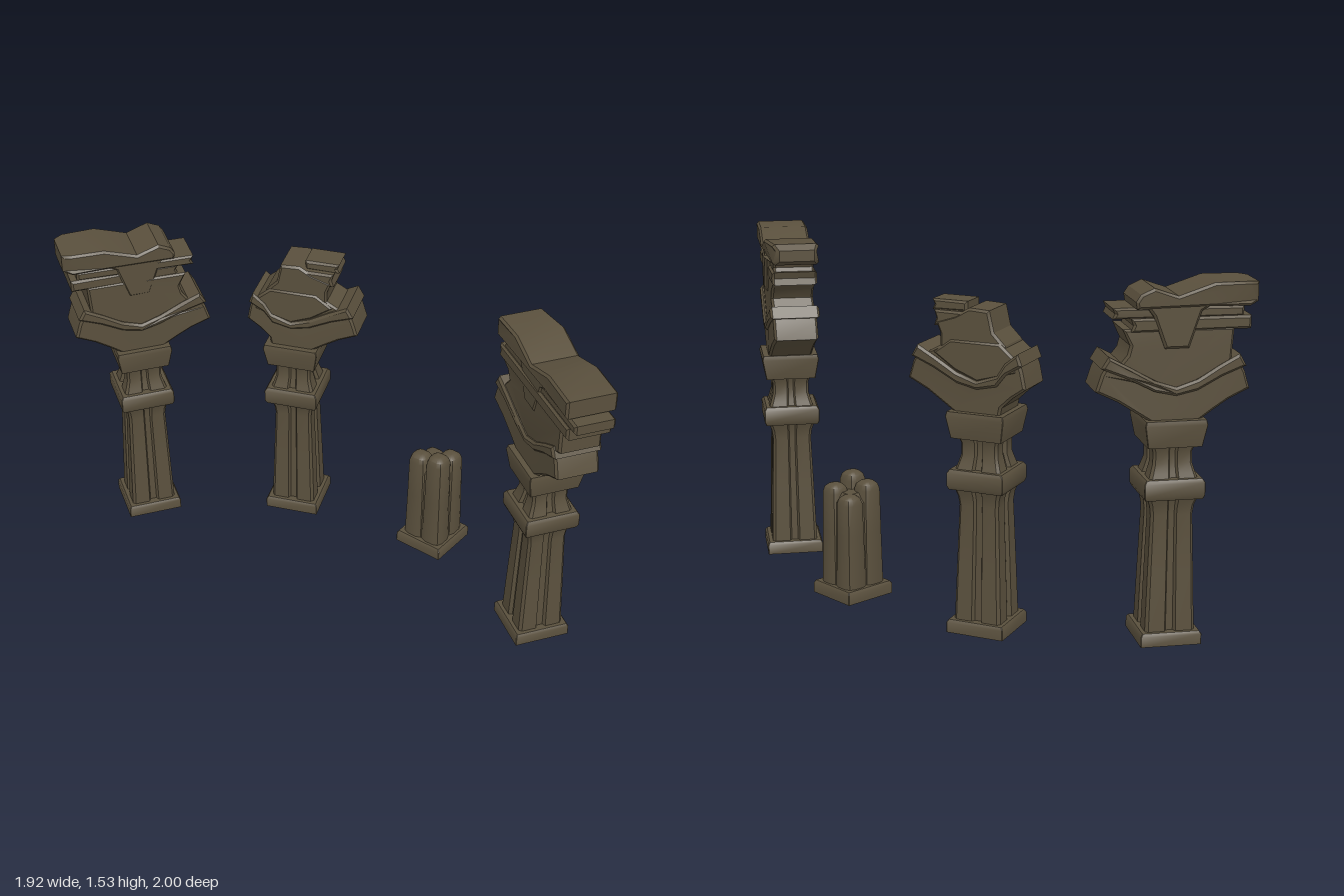
import * as THREE from 'three';
import { toCreasedNormals } from 'three/addons/utils/BufferGeometryUtils.js';

const stone = new THREE.MeshStandardMaterial({ color: 0x5a503d });
stone.name = 'weathered stone';

function add(group, name, geometry) {
  const mesh = new THREE.Mesh(geometry, stone);
  mesh.name = name;
  group.add(mesh);
  return mesh;
}

// Cross-sections, given for one side and turned four times
const turned = side => [0, 1, 2, 3].flatMap(q => side.map(([x, z]) => {
  const c = [1, 0, -1, 0][q], s = [0, 1, 0, -1][q];
  return [x * c - z * s, x * s + z * c];
}));
const SQUARE = turned([[1, -0.98], [1, 0.98]]);
const GROOVED = turned([[1, -0.88], [1, -0.22], [0.84, -0.14], [0.84, 0.14], [1, 0.22], [1, 0.88]]);
const ROUNDED = turned([[1, -0.4], [1, 0.4], [0.83, 0.83]]);

// Loft a section upwards through rows of [y, half width]
function loft(section, rows) {
  const n = section.length, pos = [], idx = [];
  rows.forEach(([y, h]) => section.forEach(([x, z]) => pos.push(x * h, y, z * h)));
  const top = rows.length - 1, low = pos.length / 3;
  pos.push(0, rows[0][0], 0, 0, rows[top][0], 0);
  for (let i = 0; i < n; i++) {
    const j = (i + 1) % n;
    for (let r = 0; r < top; r++) {
      const a = r * n + i, b = r * n + j;
      idx.push(a, a + n, b, b, a + n, b + n);
    }
    idx.push(low, i, j, low + 1, top * n + j, top * n + i);
  }
  const g = new THREE.BufferGeometry();
  g.setAttribute('position', new THREE.Float32BufferAttribute(pos, 3));
  g.setIndex(idx);
  return toCreasedNormals(g, 0.6);
}

// Bevelled slab cut to an outline, skewed and pinched towards its ends
function slab(outline, half, { skew = 0, pinch = 0 } = {}) {
  const b = 0.01;
  const g = new THREE.ExtrudeGeometry(new THREE.Shape(outline.map(p => new THREE.Vector2(...p))), {
    depth: 2 * half - 2 * b, bevelThickness: b, bevelSize: b, bevelOffset: -b, bevelSegments: 1,
  });
  g.translate(0, 0, b - half);
  const p = g.attributes.position;
  for (let i = 0; i < p.count; i++) {
    const x = p.getX(i);
    const squeeze = pinch * x > 0 ? 1 - Math.min(0.3, Math.max(0, Math.abs(x) - 0.29) * 5) : 1;
    p.setZ(i, p.getZ(i) * squeeze + skew * Math.max(0, x - 0.12));
  }
  return toCreasedNormals(g, 0.5);
}

const bar = (x0, x1, y0, y1) => [[x0, y0], [x1, y0], [x1 - 0.01, (y0 + y1) / 2], [x1, y1], [x0, y1]];

// Base, shaft, collar, neck and cap
function pillar(group) {
  add(group, 'base', loft(SQUARE, [[0, 0.13], [0.045, 0.13], [0.057, 0.122]]));
  add(group, 'shaft', loft(GROOVED, [[0.05, 0.106], [0.3, 0.098], [0.56, 0.089], [0.6, 0.094], [0.64, 0.108]]));
  add(group, 'collar', loft(SQUARE, [[0.634, 0.121], [0.65, 0.128], [0.705, 0.128], [0.72, 0.118]]));
  add(group, 'neck', loft(GROOVED, [[0.71, 0.105], [0.74, 0.095], [0.78, 0.083], [0.83, 0.083], [0.86, 0.094]]));
  add(group, 'cap', loft(SQUARE, [[0.855, 0.114], [0.95, 0.131], [0.97, 0.126]]));
}

// Flared springer with its V-shaped moulding; l and r are the arm lengths
function springer(group, l, r, skew) {
  const arm = (s, e) => [[s * 0.1, 0.96], [s * e * 0.5, 1.0], [s * e * 0.72, 1.045], [s * e, 1.087],
    [s * e * 0.93, 1.16], [s * e * 0.83, 1.22], [s * e * 0.6, 1.18], [s * 0.09, 1.13]];
  add(group, 'springer', slab([...arm(1, r), [0, 1.1], ...arm(-1, l).reverse()], 0.1, { skew }));
  const upper = (s, e) => [[s * 0.09, 1.135], [s * e * 0.58, 1.19], [s * e * 0.85, 1.235]];
  const lower = (s, e) => [[s * e * 0.94, 1.185], [s * e * 0.62, 1.145], [s * 0.09, 1.09]];
  add(group, 'moulding', slab([[0, 1.105], ...upper(-1, l), ...lower(-1, l), [0, 1.07],
    ...lower(1, r).reverse(), ...upper(1, r).reverse()], 0.112, { skew }));
}

const keystone = [[-0.19, 1.5], [-0.16, 1.45], [-0.1, 1.415], [-0.05, 1.265], [0.05, 1.265],
  [0.1, 1.4], [0.13, 1.44], [0.09, 1.5], [0, 1.475]];

function place(root, name, x, z, angle) {
  const g = new THREE.Group();
  g.name = name;
  g.position.set(x, 0, z);
  g.rotation.y = angle;
  root.add(g);
  return g;
}

export function createModel() {
  const root = new THREE.Group();
  root.name = 'ruinedArcade';

  // Pillar with its right side broken away
  const a = place(root, 'leftPillar', -0.624, -0.868, 0);
  pillar(a);
  springer(a, 0.31, 0.325, 0.16);
  add(a, 'capitalBody', slab([[-0.24, 1.345], [-0.23, 1.2], [-0.08, 1.12], [0, 1.09], [0.08, 1.12],
    [0.23, 1.2], [0.2, 1.24], [0.19, 1.28], [0.22, 1.345]], 0.098, { skew: 0.16 }));
  add(a, 'lowerBand', slab(bar(-0.31, 0.19, 1.335, 1.39), 0.098));
  add(a, 'upperBand', slab(bar(-0.28, 0.26, 1.385, 1.43), 0.092, { skew: 0.16 }));
  add(a, 'keystone', slab(keystone, 0.106));
  add(a, 'topSlab', slab([[-0.34, 1.445], [-0.3, 1.43], [-0.15, 1.435], [0.17, 1.43], [0.175, 1.46],
    [0.155, 1.49], [0.1, 1.515], [0, 1.48], [-0.15, 1.53], [-0.3, 1.53], [-0.34, 1.525]], 0.114, { pinch: -1 }));

  // Most ruined pillar, with the top mostly gone
  const b = place(root, 'middlePillar', 0.095, -0.645, -0.6);
  pillar(b);
  springer(b, 0.215, 0.32, 0.05);
  add(b, 'capitalBody', slab([[-0.15, 1.15], [0, 1.09], [0.08, 1.12], [0.24, 1.2], [0.17, 1.24], [0.17, 1.29],
    [0.19, 1.34], [0.1, 1.37], [0.04, 1.405], [-0.05, 1.4], [-0.07, 1.31], [-0.12, 1.26]], 0.095));
  add(b, 'brokenShoulder', slab([[-0.18, 1.15], [0, 1.1], [0.1, 1.14], [0.2, 1.21], [0.12, 1.27],
    [-0.1, 1.27], [-0.16, 1.22]], 0.103));
  add(b, 'lowerBand', slab(bar(0.05, 0.2, 1.32, 1.385), 0.092));
  add(b, 'upperBand', slab(bar(0.06, 0.22, 1.38, 1.425), 0.065));

  // Best kept pillar
  const d = place(root, 'rightPillar', 0.828, 0.593, Math.PI / 2);
  pillar(d);
  springer(d, 0.305, 0.33, -0.08);
  add(d, 'capitalBody', slab([[-0.3, 1.345], [-0.3, 1.22], [-0.2, 1.17], [-0.08, 1.12], [0, 1.09],
    [0.08, 1.12], [0.25, 1.21], [0.21, 1.26], [0.23, 1.3], [0.29, 1.345]], 0.096, { skew: -0.1 }));
  add(d, 'lowerBand', slab(bar(-0.365, 0.3, 1.335, 1.395), 0.102, { skew: -0.1 }));
  add(d, 'upperBand', slab(bar(-0.41, 0.28, 1.39, 1.435), 0.092, { skew: -0.1 }));
  add(d, 'keystone', slab(keystone, 0.106));
  add(d, 'topSlab', slab([[-0.365, 1.445], [-0.15, 1.445], [0.13, 1.43], [0.31, 1.43], [0.34, 1.45], [0.34, 1.5],
    [0.31, 1.525], [0.15, 1.525], [0, 1.475], [-0.17, 1.53], [-0.365, 1.53]], 0.114, { skew: -0.12, pinch: 1 }));

  // Stump of clustered shafts worn round at the top
  const stump = place(root, 'stump', 0.615, -0.122, 0.58);
  add(stump, 'base', loft(SQUARE, [[0, 0.126], [0.045, 0.126], [0.057, 0.118]]));
  add(stump, 'core', loft(SQUARE, [[0.05, 0.092], [0.44, 0.08], [0.48, 0.05]]));
  for (const [sx, sz, h] of [[1, 1, 0.515], [-1, 1, 0.555], [-1, -1, 0.53], [1, -1, 0.48]]) {
    const lobe = add(stump, 'clusteredShaft', loft(ROUNDED, [[0.05, 0.056], [0.3, 0.051],
      [h - 0.04, 0.048], [h - 0.015, 0.04], [h - 0.003, 0.026], [h, 0.012]]));
    lobe.position.set(sx * 0.05, 0, sz * 0.05);
  }
  return root;
}
